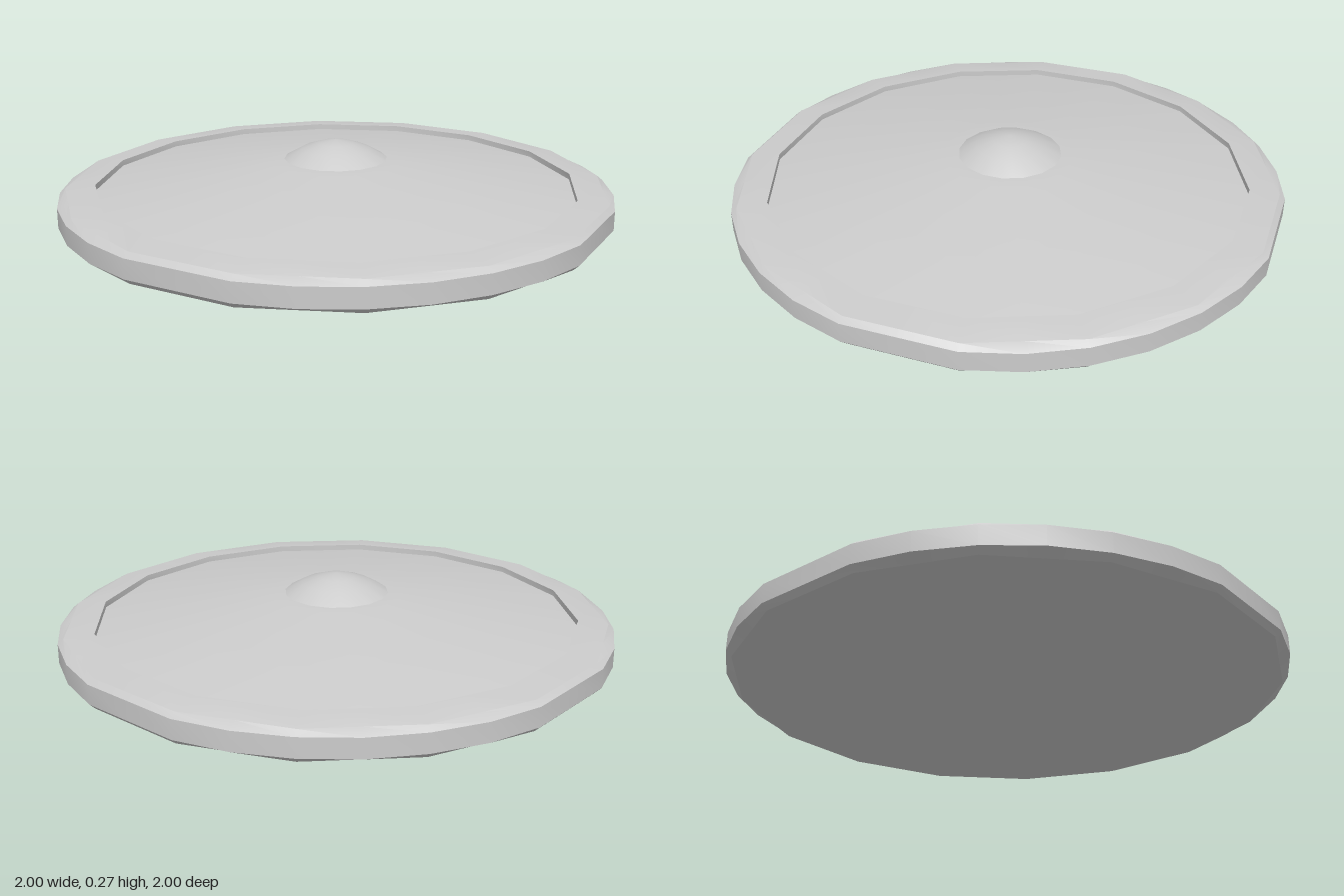
import * as THREE from 'three';
import { toCreasedNormals } from 'three/addons/utils/BufferGeometryUtils.js';

const STEPS = 32;
const FLAT = Math.cos(Math.PI / 16);
const material = new THREE.MeshStandardMaterial({ color: 0xcccccc });

// Turned 16-sided part with radii measured to the flats. Rings marked round
// bulge out between the corners, except on the four flats along x and z.
function turned(name, profile) {
  const points = profile.map(([r, y]) => new THREE.Vector2(r / FLAT, y));
  const lathe = new THREE.LatheGeometry(points, STEPS);
  const position = lathe.attributes.position;
  for (let i = 0; i < position.count; i++) {
    const step = Math.floor(i / profile.length);
    const round = profile[i % profile.length][2];
    if (step % 2 === 0 && (!round || step % 8 === 0)) {
      position.setX(i, position.getX(i) * FLAT);
      position.setZ(i, position.getZ(i) * FLAT);
    }
  }
  const mesh = new THREE.Mesh(toCreasedNormals(lathe, 0.5), material);
  mesh.name = name;
  return mesh;
}

export function createModel() {
  const group = new THREE.Group();
  group.name = 'roundShield';

  // Hollowed back
  group.add(turned('back', [[0, 0.105], [0.24, 0.1], [0.98, 0]]));

  // Bevelled outer band and raised lip
  group.add(turned('rim', [
    [0.98, 0], [1, 0.02, true], [1, 0.09, true], [0.98, 0.107], [0.873, 0.117], [0.873, 0.095],
  ]));

  // Shallow conical face inside the lip
  group.add(turned('face', [[0.873, 0.095], [0.24, 0.198], [0.17, 0.2]]));

  // Central boss
  const boss = turned('boss', [[0.192, 0.197], [0.125, 0.236], [0.065, 0.257], [0, 0.27]]);
  boss.position.set(-0.005, 0, -0.005);
  group.add(boss);

  return group;
}
